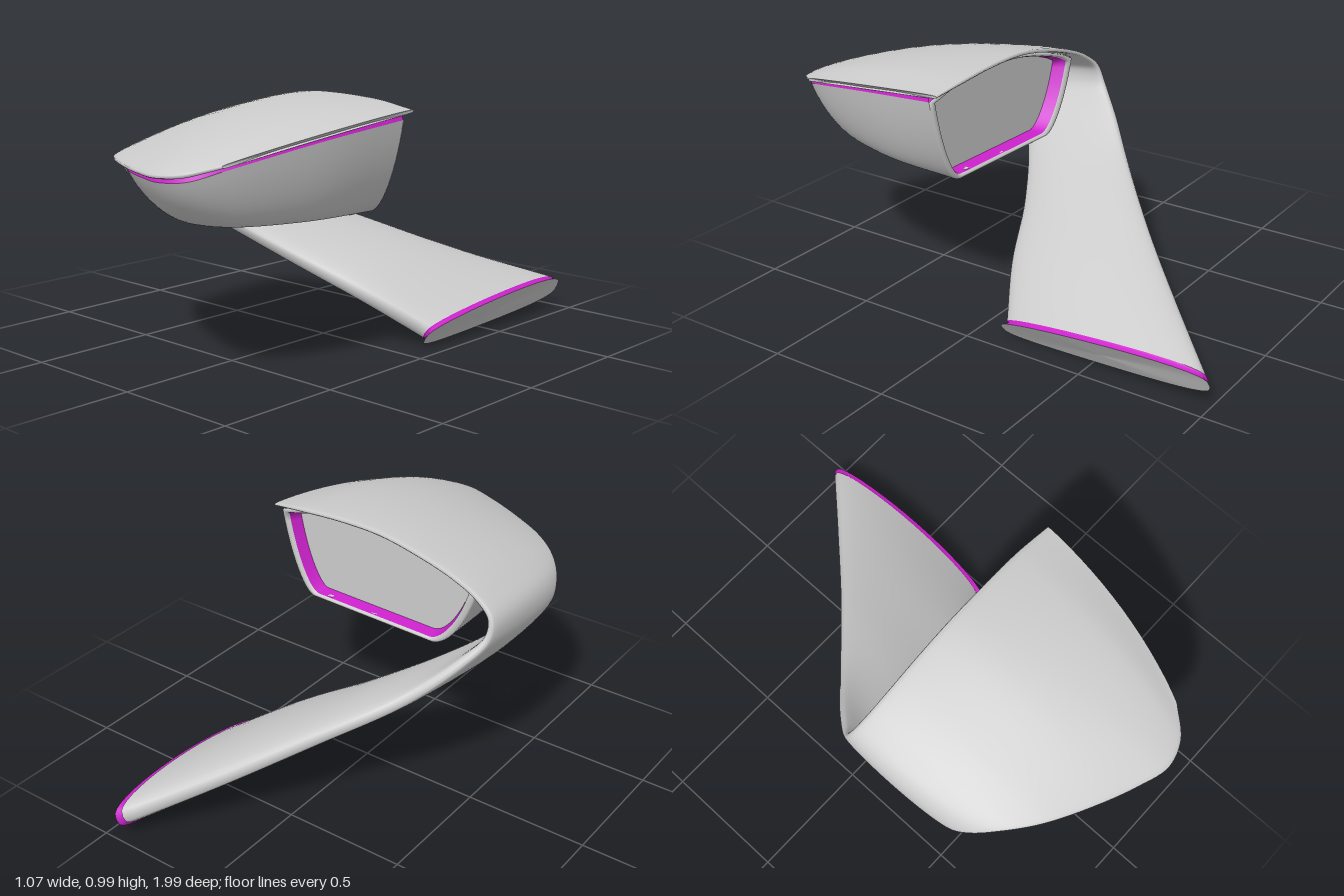
import * as THREE from 'three';

const V = (x, y, z) => new THREE.Vector3(x, y, z);
const curve = pts => new THREE.CatmullRomCurve3(pts.map(p => V(...p)));
const lerp = THREE.MathUtils.lerp;
const grey = new THREE.MeshStandardMaterial({ color: 0xcccccc, side: THREE.DoubleSide });
const trim = new THREE.MeshStandardMaterial({ color: 0xcc22cc, side: THREE.DoubleSide });

// Skin a list of equally long point rings
function loft(rings, closed) {
  const n = rings[0].length, index = [];
  for (let i = 0; i < rings.length - 1; i++)
    for (let j = 0; j < (closed ? n : n - 1); j++) {
      const k = (j + 1) % n, a = i * n + j, b = i * n + k;
      index.push(a, a + n, b, b, a + n, b + n);
    }
  const geo = new THREE.BufferGeometry().setFromPoints(rings.flat());
  geo.setIndex(index);
  geo.computeVertexNormals();
  return geo;
}

const middle = ring => ring.reduce((s, p) => s.add(p), V(0, 0, 0)).divideScalar(ring.length);

// Close a ring with a flat fan
function fan(ring) {
  const c = middle(ring);
  return loft([ring, ring.map(() => c.clone())], true);
}

// Scale a ring about a centre and move it
const resize = (ring, s, shift, c = middle(ring)) =>
  ring.map(p => p.clone().sub(c).multiplyScalar(s).add(c).add(shift));

// Rear, middle and front lines of the blade: cap tip -> curl -> arm -> foot
const rear = curve([
  [.525, .955, .09], [.36, .975, .08], [.18, .985, .08], [0, .98, .08], [-.18, .945, .08],
  [-.33, .9, .08], [-.44, .85, .075], [-.51, .79, .06], [-.515, .72, .03], [-.45, .63, -.06],
  [-.3, .49, -.22], [-.05, .345, -.47], [.2, .21, -.74], [.42, .11, -.98]]);
const mid = curve([
  [.475, .903, .5], [.34, .925, .55], [.17, .932, .55], [0, .92, .53], [-.18, .885, .5],
  [-.33, .85, .45], [-.435, .81, .4], [-.505, .76, .35], [-.512, .69, .31], [-.455, .605, .21],
  [-.31, .5, .07], [-.06, .36, -.15], [.2, .225, -.36], [.425, .095, -.55]]);
const front = curve([
  [.36, .825, .87], [.27, .795, .965], [.17, .785, .995], [.03, .78, .955], [-.15, .775, .875],
  [-.3, .77, .79], [-.41, .755, .7], [-.475, .715, .62], [-.495, .66, .55], [-.45, .6, .44],
  [-.32, .48, .28], [-.07, .325, .12], [.2, .19, -.005], [.41, .06, -.13]]);
const halfThickness = [.009, .014, .014, .014, .014, .014, .015, .018, .025, .034, .044, .054, .062, .072];

// Point of the blade's centre sheet, s runs from rear to front
function sheet(u, s) {
  return rear.getPoint(u).multiplyScalar((1 - s) * (1 - 2 * s))
    .addScaledVector(mid.getPoint(u), 4 * s * (1 - s))
    .addScaledVector(front.getPoint(u), s * (2 * s - 1));
}

// Rounded section: plate-like in the cap, lens-like in the arm
function section(u) {
  const ring = [], N = 40, f = u * 13, i = Math.min(12, Math.floor(f)), e = .004;
  const t = lerp(halfThickness[i], halfThickness[i + 1], f - i);
  const power = lerp(.35, .62, THREE.MathUtils.smoothstep(f, 6, 11));
  const u0 = Math.max(0, u - e), u1 = Math.min(1, u + e);
  for (let j = 0; j < N; j++) {
    const a = j / N * Math.PI * 2, s = .5 - .5 * Math.cos(a), w = Math.sin(a);
    const along = sheet(u1, s).sub(sheet(u0, s));
    const across = sheet(u, s + .01).sub(sheet(u, s - .01));
    const normal = along.cross(across).normalize();
    ring.push(sheet(u, s).addScaledVector(normal, t * Math.sign(w) * Math.pow(Math.abs(w), power)));
  }
  return ring;
}

// Housing outlines, right rear round the front to left rear
const top = curve([
  [.515, .925, .135], [.462, .88, .5], [.35, .81, .84], [.27, .775, .94], [.17, .765, .97], [.03, .76, .93],
  [-.15, .757, .85], [-.28, .757, .75], [-.35, .765, .64], [-.4, .81, .4], [-.41, .845, .135]]);
const bottom = curve([
  [.36, .575, .135], [.35, .582, .45], [.28, .59, .7], [.22, .592, .76], [.13, .592, .78], [.02, .59, .75],
  [-.08, .588, .68], [-.16, .583, .58], [-.2, .578, .45], [-.22, .57, .3], [-.22, .562, .135]]);

// Housing wall, v runs from the floor to the cap, leaving the floor tangentially
function wall(u, v) {
  const a = v * Math.PI / 2, rise = 1 - Math.cos(a), out = .6 * Math.sin(a) + .4 * rise;
  const b = bottom.getPoint(u), t = top.getPoint(u);
  return V(lerp(b.x, t.x, out), lerp(b.y, t.y, rise), lerp(b.z, t.z, out));
}

export function createModel() {
  const model = new THREE.Group();
  const add = (name, geo, mat = grey) => {
    const mesh = new THREE.Mesh(geo, mat);
    mesh.name = name;
    model.add(mesh);
  };

  // Cap and arm as one curled blade
  const blade = [];
  for (let i = 0; i <= 91; i++) blade.push(section(i / 91));
  // quick thinning at the tip rounds its edge
  blade.splice(1, 0, section(.004), section(.007));
  add('capAndArm', loft(blade, true));
  add('capTip', fan(blade[0]));

  // Foot: flared gasket and flat base
  const end = blade[blade.length - 1];
  const foot = resize(end, 1.04, V(.018, -.013, 0));
  add('footGasket', loft([end, resize(end, .98, V(.006, -.004, 0)), foot], true), trim);
  add('footBase', fan(foot));

  // Housing shell and floor
  const rings = [], M = 60, L = 14;
  for (let k = 0; k <= L; k++) {
    const ring = [];
    for (let j = 0; j <= M; j++) ring.push(wall(j / M, k / L));
    rings.push(ring);
  }
  add('housing', loft(rings, false));
  add('housingFloor', fan(rings[0]));

  // Seam strip between housing and cap
  add('capSeam', loft([rings[L], resize(rings[L], .985, V(0, .022, 0), V(.08, .8, .3))], false), trim);

  // Outline of the rear opening
  const opening = [];
  for (let k = L; k >= 0; k--) opening.push(wall(0, k / L));
  for (let k = 1; k < 10; k++) opening.push(wall(0, 0).lerp(wall(1, 0), k / 10));
  for (let k = 0; k <= L; k++) opening.push(wall(1, k / L));
  for (let k = 11; k >= 1; k--) {
    const p = rear.getPoint(lerp(.35, 5.7, k / 12) / 13);
    opening.push(V(p.x, p.y - .018, .135));
  }
  const centre = V(.08, .77, .135);
  const inset = (s, z) => resize(opening, s, V(0, 0, z), centre);
  add('openingRim', loft([opening, inset(.99, -.01), inset(.95, -.01), inset(.93, 0)], true));
  add('openingTrim', loft([inset(.93, 0), inset(.89, .05)], true), trim);
  add('mirrorGlass', fan(inset(.89, .05)));

  // Three small fins under the floor
  const finShape = new THREE.Shape([[.35, .588], [.14, .578], [.155, .545], [.18, .545]]
    .map(p => new THREE.Vector2(...p)));
  [-.16, .07, .29].forEach((x, i) => {
    const geo = new THREE.ExtrudeGeometry(finShape, { depth: .022, bevelEnabled: false });
    geo.rotateY(-Math.PI / 2); // shape x becomes z
    geo.translate(x + .011, i * .006, 0);
    add('fin', geo);
  });
  return model;
}
